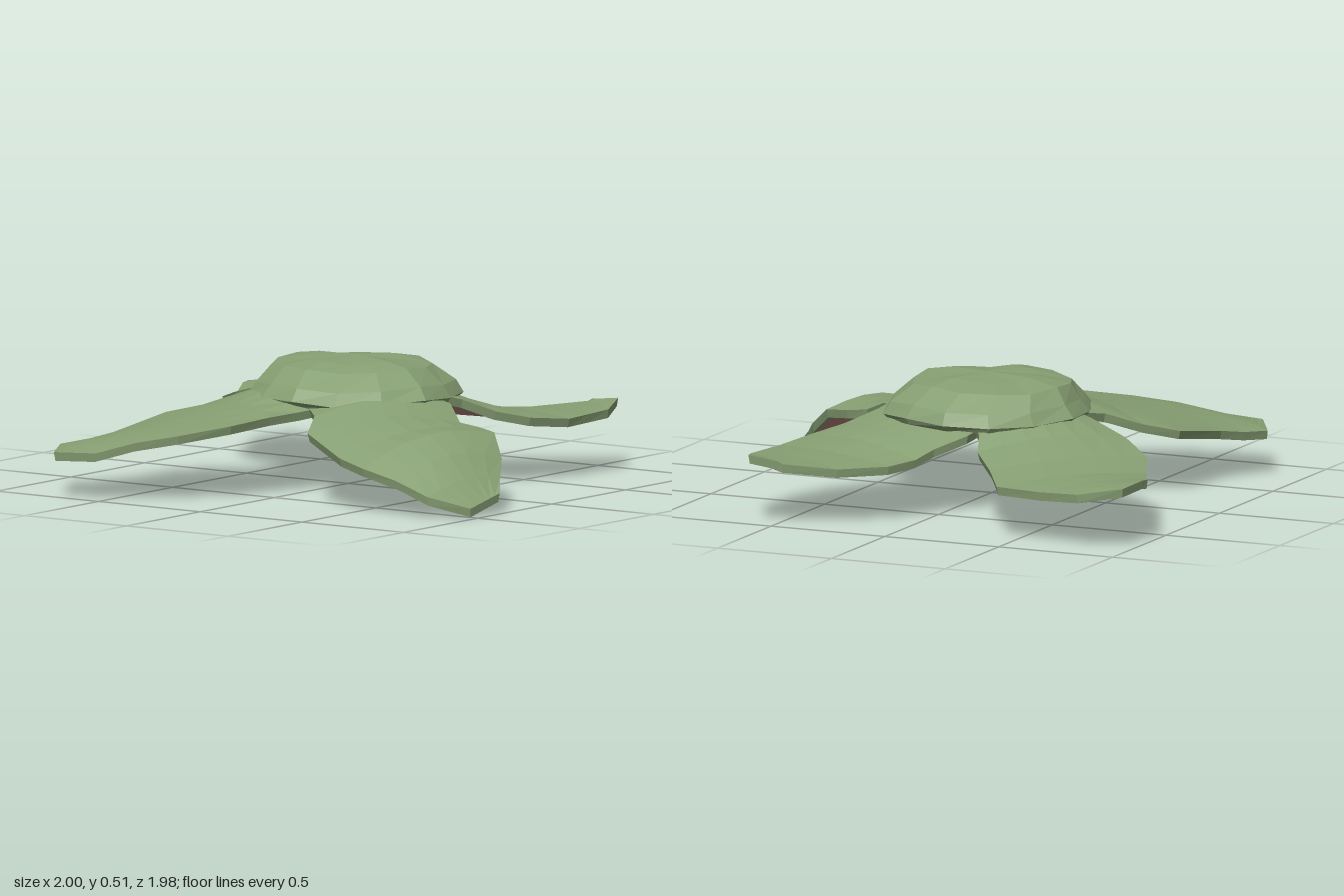
import * as THREE from 'three';

const green = new THREE.MeshStandardMaterial({ color: 0x879f73 });
green.name = 'sepal green';
const brown = new THREE.MeshStandardMaterial({ color: 0xb3827a });
brown.name = 'underside brown';

const ACROSS = 6;       // strips across each sepal
const THICK = 0.035;

// Faceted mesh from a list of triangle corners
function facetMesh(points, material, name) {
  const g = new THREE.BufferGeometry().setFromPoints(points);
  g.computeVertexNormals();
  const m = new THREE.Mesh(g, material);
  m.name = name;
  return m;
}

function quad(out, a, b, c, d) {
  out.push(a, b, c, a, c, d);
}

// Stations run outward: [edge x, y, z, other edge x, y, z, arch height]
function sepal(stations, name) {
  const group = new THREE.Group();
  group.name = name;
  const top = stations.map(([ax, ay, az, bx, by, bz, arch]) => {
    const a = new THREE.Vector3(ax, ay, az), b = new THREE.Vector3(bx, by, bz);
    return Array.from({ length: ACROSS + 1 }, (_, j) => {
      const t = j / ACROSS;
      const p = a.clone().lerp(b, t);
      p.y += arch * Math.sin(Math.PI * t);
      return p;
    });
  });
  const last = top.length - 1;
  // lower surface, drawn in from the edges and the tip
  const inset = (side, tip) => top.map((row, i) => row.map((p) => {
    const q = p.clone().lerp(row[ACROSS / 2], side);
    if (i === last) q.lerp(top[last - 2][ACROSS / 2], tip);
    q.y = p.y - THICK;
    return q;
  }));
  const low = inset(0.03, 0.02);
  const inner = inset(0.12, 0.15);
  const upper = [], lower = [], rim = [];
  for (let i = 0; i < last; i++) {
    for (let j = 0; j < ACROSS; j++) {
      quad(upper, top[i][j], top[i][j + 1], top[i + 1][j + 1], top[i + 1][j]);
      quad(lower, inner[i][j], inner[i + 1][j], inner[i + 1][j + 1], inner[i][j + 1]);
    }
    // side edge, then the green border underneath
    for (const [p, q] of [[top, low], [low, inner]]) {
      quad(rim, p[i][0], p[i + 1][0], q[i + 1][0], q[i][0]);
      quad(rim, p[i + 1][ACROSS], p[i][ACROSS], q[i][ACROSS], q[i + 1][ACROSS]);
    }
  }
  for (let j = 0; j < ACROSS; j++) {
    for (const [p, q] of [[top, low], [low, inner]]) {
      quad(rim, p[last][j], p[last][j + 1], q[last][j + 1], q[last][j]);
    }
  }
  group.add(
    facetMesh(upper, green, 'sepalTop'),
    facetMesh(rim, green, 'sepalRim'),
    facetMesh(lower, brown, 'sepalUnderside')
  );
  return group;
}

// Rings: [centre x, y, centre z, radius x, radius z]; stacked from top to bottom
function ringStack(rings, material, name) {
  const N = 14;
  const pts = rings.map(([cx, y, cz, rx, rz], k) =>
    Array.from({ length: N }, (_, i) => {
      const a = (i / N) * Math.PI * 2;
      const w = 1 + 0.025 * Math.sin(i * 2.7 + k * 0.8);
      const lump = rx > 0 ? 0.008 * Math.sin(i * 1.9) : 0;
      return new THREE.Vector3(cx + Math.cos(a) * rx * w, y + lump, cz + Math.sin(a) * rz * w);
    }));
  const out = [];
  for (let k = 0; k < pts.length - 1; k++) {
    for (let i = 0; i < N; i++) {
      const n = (i + 1) % N;
      quad(out, pts[k][i], pts[k][n], pts[k + 1][n], pts[k + 1][i]);
    }
  }
  return facetMesh(out, material, name);
}

export function createModel() {
  const model = new THREE.Group();
  model.name = 'calyx';

  // Lumpy crown in the middle, with a brown hub beneath
  const lip = [0.075, 0.335, -0.02, 0.41, 0.4];
  model.add(ringStack([
    [0.08, 0.508, -0.02, 0, 0],
    [0.07, 0.495, -0.03, 0.18, 0.2],
    [0.08, 0.475, -0.04, 0.3, 0.325],
    [0.08, 0.41, -0.02, 0.395, 0.385],
    [0.075, 0.36, -0.02, 0.43, 0.42],
    lip,
  ], green, 'crown'));
  model.add(ringStack([
    lip,
    [0.07, 0.31, -0.02, 0.27, 0.26],
    [0.07, 0.28, -0.02, 0.19, 0.18],
    [0.07, 0.275, -0.02, 0, 0],
  ], brown, 'hubUnderside'));

  // Drooping front sepal
  model.add(sepal([
    [0.14, 0.35, 0.36, -0.28, 0.345, 0.0, 0.04],
    [0.1, 0.345, 0.43, -0.42, 0.33, 0.14, 0.045],
    [0.0, 0.29, 0.55, -0.55, 0.28, 0.2, 0.05],
    [0.0, 0.28, 0.64, -0.65, 0.21, 0.43, 0.045],
    [-0.03, 0.27, 0.74, -0.66, 0.18, 0.55, 0.065],
    [-0.13, 0.185, 0.85, -0.64, 0.14, 0.7, 0.06],
    [-0.23, 0.13, 0.915, -0.62, 0.085, 0.84, 0.03],
    [-0.33, 0.08, 0.985, -0.5, 0.035, 0.965, 0],
  ], 'frontRightSepal'));

  model.add(sepal([
    [-0.25, 0.345, 0.08, 0.02, 0.36, -0.4, 0.05],
    [-0.37, 0.33, 0.03, -0.1, 0.34, -0.45, 0.055],
    [-0.5, 0.32, -0.02, -0.19, 0.29, -0.58, 0.035],
    [-0.68, 0.3, -0.08, -0.27, 0.26, -0.7, 0.025],
    [-0.83, 0.265, -0.23, -0.57, 0.21, -0.74, 0.025],
    [-0.92, 0.235, -0.38, -0.68, 0.19, -0.79, 0.02],
    [-1, 0.19, -0.52, -0.79, 0.18, -0.84, 0.015],
    [-1, 0.19, -0.54, -1, 0.18, -0.72, 0],
  ], 'backRightSepal'));

  model.add(sepal([
    [0.0, 0.36, -0.38, 0.4, 0.35, -0.1, 0.04],
    [0.05, 0.35, -0.46, 0.48, 0.335, -0.17, 0.04],
    [0.13, 0.3, -0.65, 0.56, 0.28, -0.2, 0.035],
    [0.25, 0.255, -0.8, 0.7, 0.24, -0.32, 0.025],
    [0.43, 0.23, -0.88, 0.85, 0.21, -0.42, 0.02],
    [0.55, 0.235, -0.94, 0.88, 0.21, -0.62, 0.015],
    [0.65, 0.25, -0.99, 0.91, 0.22, -0.8, 0.01],
    [0.69, 0.255, -0.988, 0.84, 0.245, -0.97, 0],
  ], 'backLeftSepal'));

  model.add(sepal([
    [0.4, 0.35, -0.15, 0.15, 0.365, 0.37, 0.03],
    [0.5, 0.33, -0.13, 0.22, 0.345, 0.4, 0.03],
    [0.58, 0.28, -0.02, 0.31, 0.295, 0.5, 0.03],
    [0.65, 0.245, 0.03, 0.42, 0.265, 0.59, 0.025],
    [0.75, 0.23, 0.1, 0.6, 0.245, 0.65, 0.015],
    [0.89, 0.23, 0.26, 0.72, 0.25, 0.655, 0.01],
    [1, 0.255, 0.45, 0.85, 0.255, 0.66, 0.005],
    [1, 0.265, 0.47, 1, 0.28, 0.6, 0],
  ], 'frontLeftSepal'));

  return model;
}
